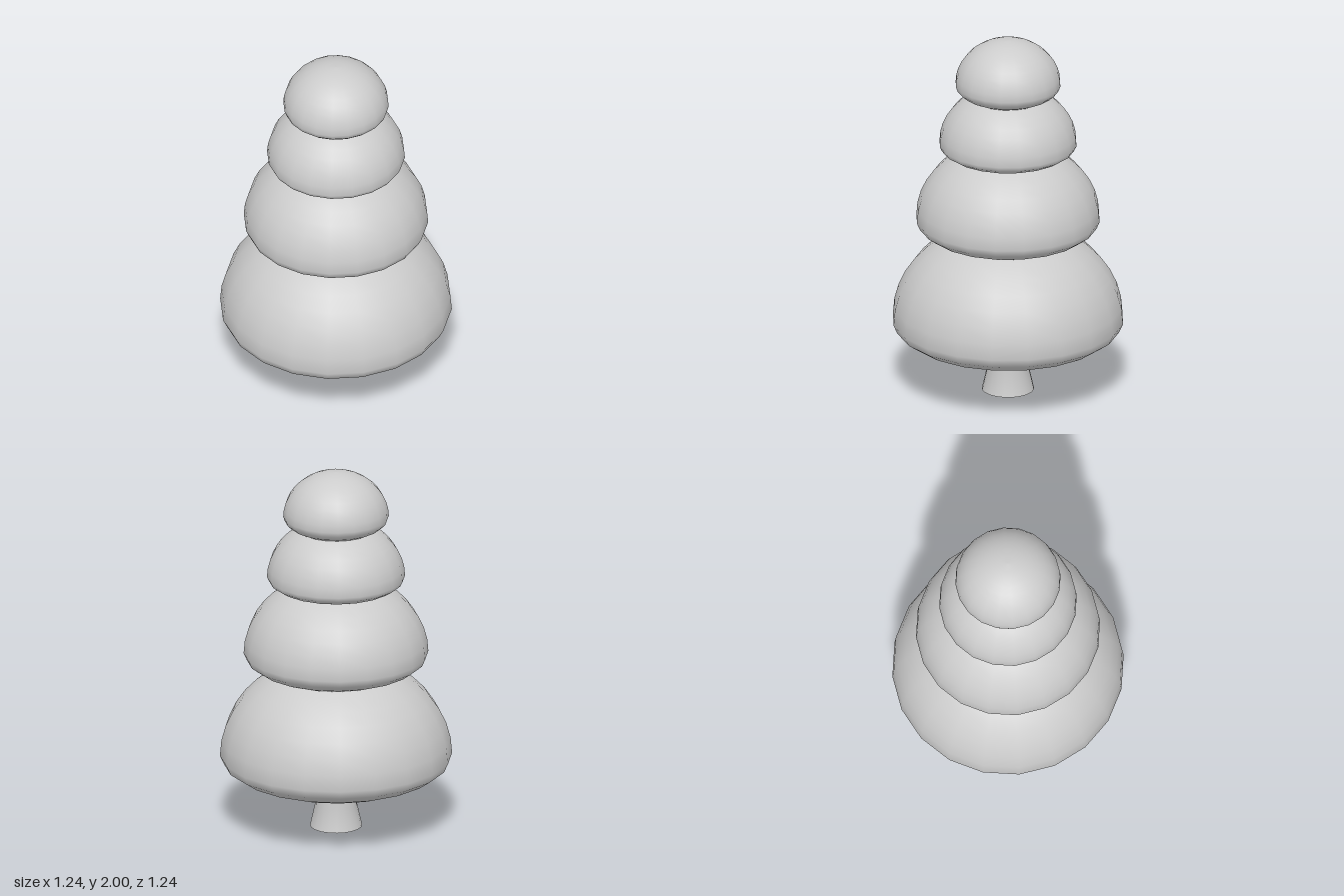
import * as THREE from 'three';

const SIDES = 20;

// Half profile of a puffy tier: shallow rounded underside, tall domed top
function tierProfile(radius, rimY, depth, height) {
  const points = [];
  const lower = 6, upper = 10;
  for (let i = -lower; i <= upper; i++) {
    const a = (i < 0 ? i / lower : i / upper) * Math.PI / 2;
    const r = Math.abs(i) === (i < 0 ? lower : upper) ? 0 : radius * Math.cos(a);
    points.push(new THREE.Vector2(r, rimY + Math.sin(a) * (i < 0 ? depth : height)));
  }
  return points;
}

export function createModel() {
  const tree = new THREE.Group();
  tree.name = 'tree';
  const grey = new THREE.MeshStandardMaterial({ color: 0xcccccc });
  grey.name = 'light grey';

  const add = (geometry, name, parent = tree) => {
    const mesh = new THREE.Mesh(geometry, grey);
    mesh.name = name;
    parent.add(mesh);
    return mesh;
  };

  // Foliage tiers: name, radius, rim height, underside depth, dome height
  const tiers = [
    ['bottomTier', 0.622, 0.40, 0.18, 0.545],
    ['lowerTier', 0.495, 0.98, 0.15, 0.43],
    ['upperTier', 0.37, 1.41, 0.10, 0.32],
    ['topTier', 0.283, 1.75, 0.105, 0.25],
  ];
  for (const [name, ...size] of tiers) {
    add(new THREE.LatheGeometry(tierProfile(...size), SIDES), name);
  }

  // Trunk with a flared foot and a closed base
  const trunk = new THREE.Group();
  trunk.name = 'trunk';
  tree.add(trunk);
  const side = [[0.14, 0], [0.113, 0.12], [0.113, 0.3]].map(([r, y]) => new THREE.Vector2(r, y));
  add(new THREE.LatheGeometry(side, SIDES), 'trunkSide', trunk);
  add(new THREE.CircleGeometry(0.14, SIDES).rotateX(Math.PI / 2), 'trunkBase', trunk);

  return tree;
}
